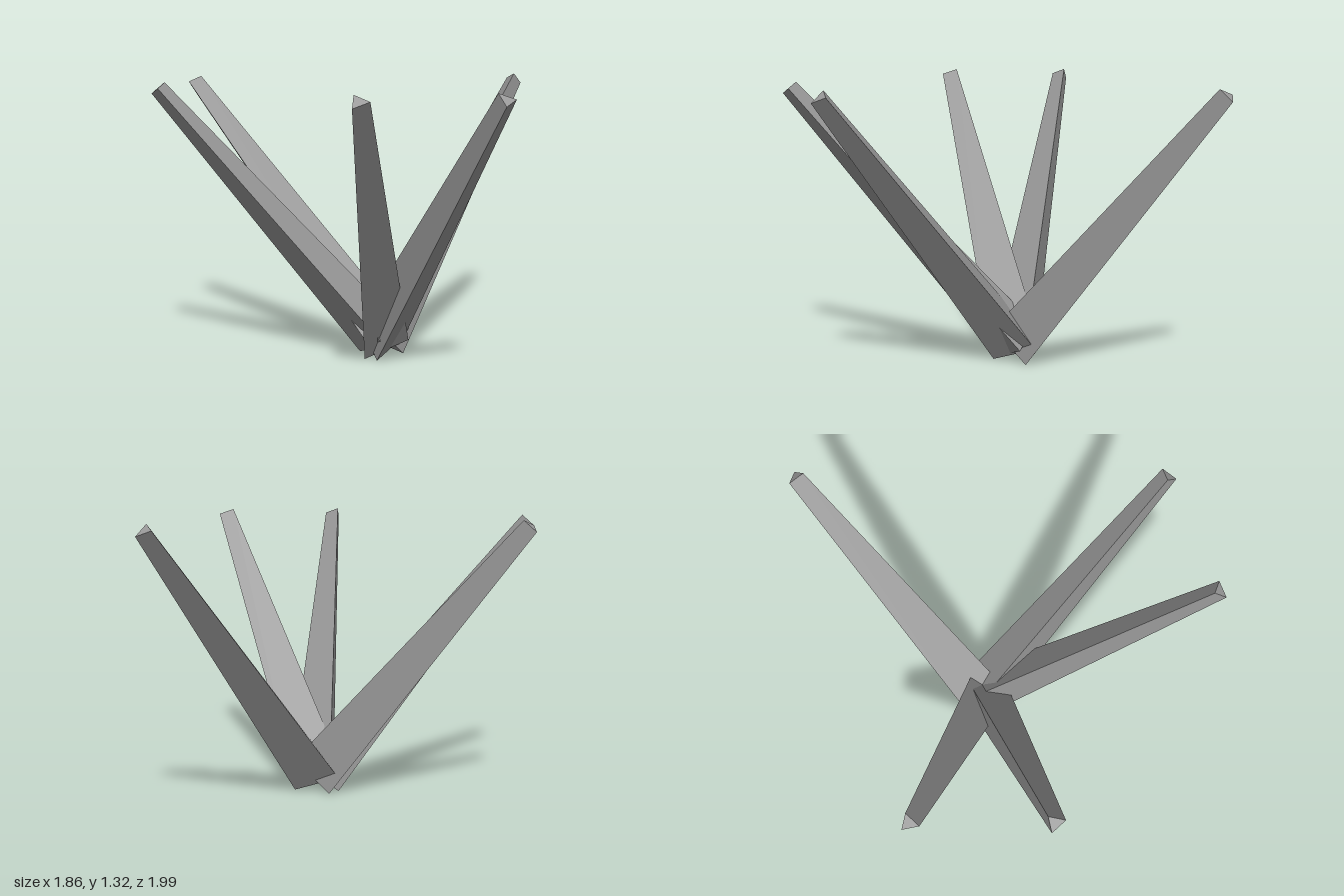
import * as THREE from 'three';

export function createModel() {
  const model = new THREE.Group();
  model.name = 'spikeCluster';
  const grey = new THREE.MeshStandardMaterial({ color: 0x999999, flatShading: true });
  grey.name = 'stoneGrey';

  // Three-sided tapered spike, moved so that its wide end sits at the origin
  const length = 1.591, tilt = 0.702;
  const spikeGeometry = new THREE.CylinderGeometry(0.045, 0.135, length, 3, 1, false, Math.PI);
  spikeGeometry.translate(0, length / 2, 0);

  // Five spikes fan out from a shared base; headings are degrees from +x towards +z
  const headings = [-67.8, 40.9, 74.4, 150, 183.4];
  headings.forEach((heading, i) => {
    const spike = new THREE.Mesh(spikeGeometry, grey);
    spike.name = `spike${i + 1}`;
    spike.position.set(0.122, 0.08, -0.028);
    // Lean outwards, then turn to the heading
    spike.rotation.set(0, -THREE.MathUtils.degToRad(heading), -tilt, 'XYZ');
    model.add(spike);
  });
  return model;
}
